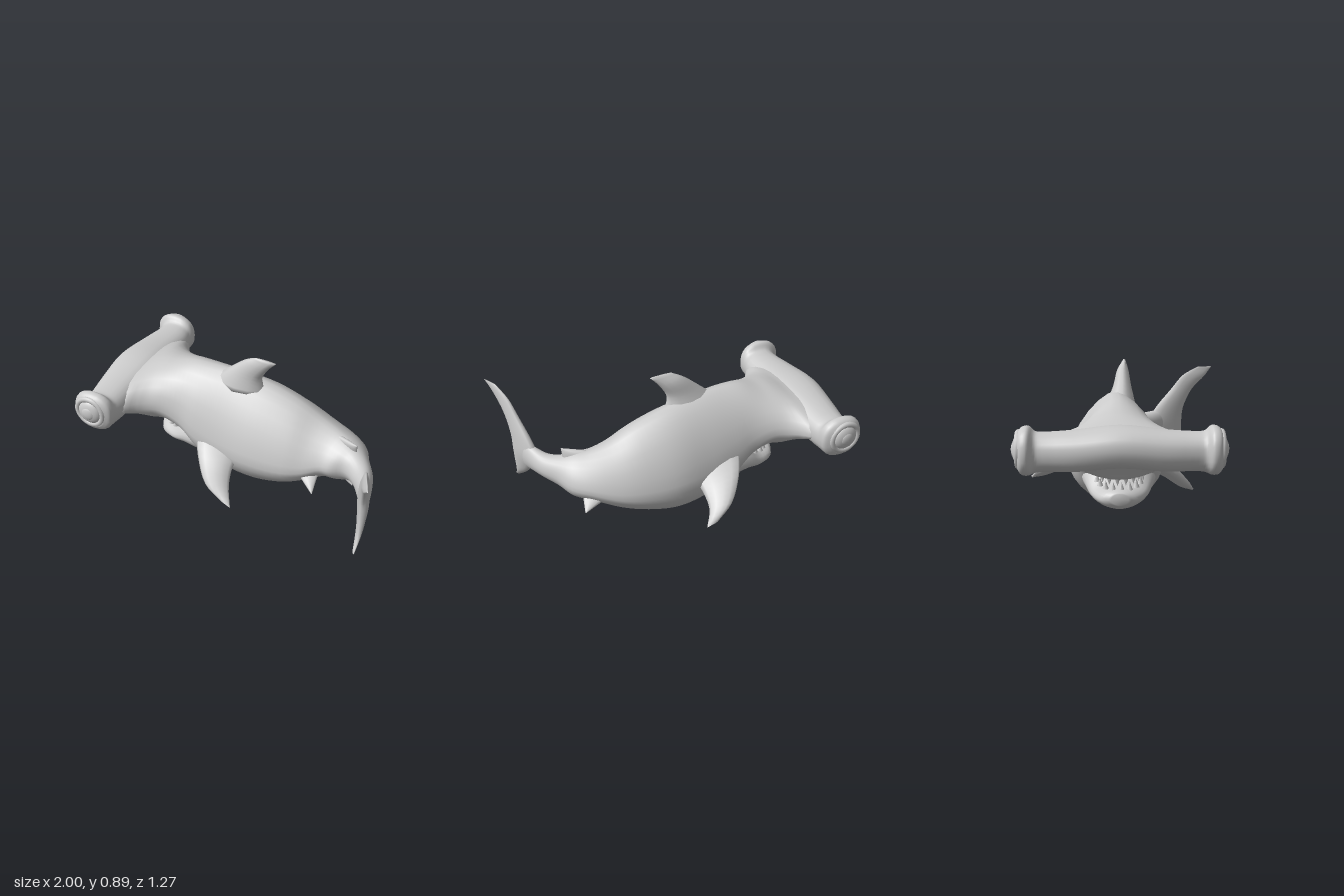
import * as THREE from 'three';

const MID = -0.06; // z of the head's centre plane
const V = (x, y, z) => new THREE.Vector3(x, y, z);
const material = new THREE.MeshStandardMaterial({ color: 0xcccccc });

function add(group, name, geometry) {
  const mesh = new THREE.Mesh(geometry, material);
  mesh.name = name;
  group.add(mesh);
  return mesh;
}

// Smooth closed skin through rings of equal point count, capped at both ends
function loft(rings, sub = 4) {
  const n = rings[0].length;
  const steps = (rings.length - 1) * sub;
  const columns = rings[0].map((_, j) => new THREE.CatmullRomCurve3(rings.map(r => r[j]), false, 'centripetal'));
  const pos = [], index = [];
  for (let i = 0; i <= steps; i++)
    for (const c of columns) pos.push(...c.getPoint(i / steps).toArray());
  for (let i = 0; i < steps; i++)
    for (let j = 0; j < n; j++) {
      const a = i * n + j, b = i * n + (j + 1) % n;
      index.push(a, b, a + n, b, b + n, a + n);
    }
  [0, steps].forEach((row, end) => {
    const centre = pos.length / 3;
    const ring = rings[end ? rings.length - 1 : 0];
    const c = ring.reduce((s, p) => s.add(p), V(0, 0, 0)).divideScalar(n);
    pos.push(c.x, c.y, c.z);
    for (let j = 0; j < n; j++) {
      const a = row * n + j, b = row * n + (j + 1) % n;
      if (end) index.push(a, b, centre); else index.push(b, a, centre);
    }
  });
  // Turn the faces outward if the signed volume is negative
  let volume = 0;
  const at = k => V(pos[3 * k], pos[3 * k + 1], pos[3 * k + 2]);
  for (let k = 0; k < index.length; k += 3)
    volume += at(index[k]).dot(at(index[k + 1]).cross(at(index[k + 2])));
  if (volume < 0) index.reverse();
  const g = new THREE.BufferGeometry();
  g.setAttribute('position', new THREE.Float32BufferAttribute(pos, 3));
  g.setIndex(index);
  g.computeVertexNormals();
  return g;
}

const power = (v, p) => Math.sign(v) * Math.abs(v) ** p;
const around = (n, fn) => Array.from({ length: n }, (_, i) => fn(Math.cos(i / n * Math.PI * 2), Math.sin(i / n * Math.PI * 2)));

// Body section: centre x, z, heading, half width, bottom, widest height, top, slope of the back
function bodyRing([x, z, heading, hw, bottom, wide, top, slope = 1.3]) {
  return around(28, (c, s) => {
    const p = s > 0 ? slope : 1.1;
    const side = hw * power(c, p);
    const y = wide + (s > 0 ? top - wide : wide - bottom) * power(s, p);
    return V(x - Math.sin(heading) * side, y, z + Math.cos(heading) * side);
  });
}

// Fin from sections [leading point, trailing point, half thickness], thickened along a normal
function fin(group, name, normal, sections) {
  const up = V(...normal).normalize();
  const rings = sections.map(([lead, trail, t]) => {
    const a = V(...lead), b = V(...trail);
    return around(12, (c, s) => a.clone().lerp(b, 0.5 - c / 2).addScaledVector(up, t * s));
  });
  add(group, name, loft(rings));
}

export function createModel() {
  const shark = new THREE.Group();
  shark.name = 'hammerheadShark';

  // Body and bent tail stock, flaring into the tail fin
  add(shark, 'body', loft([
    [-0.9, MID, 0, 0.36, 0.44, 0.52, 0.6, 1],
    [-0.74, MID, 0, 0.44, 0.4, 0.5, 0.635, 1.15],
    [-0.67, MID, 0, 0.355, 0.34, 0.48, 0.66, 1.1],
    [-0.62, MID, 0, 0.31, 0.295, 0.47, 0.675, 1.1],
    [-0.54, MID, 0, 0.27, 0.29, 0.46, 0.69, 1.1],
    [-0.42, MID, 0, 0.25, 0.24, 0.4, 0.722, 1.15],
    [-0.3, MID, 0, 0.265, 0.1, 0.33, 0.73, 1.2],
    [-0.12, -0.07, 0, 0.285, 0.025, 0.28, 0.725],
    [0.1, -0.08, 0, 0.3, 0.005, 0.26, 0.69],
    [0.3, -0.08, 0, 0.28, 0.06, 0.26, 0.625],
    [0.45, -0.075, 0.1, 0.24, 0.13, 0.28, 0.55],
    [0.58, -0.05, 0.3, 0.19, 0.2, 0.32, 0.505],
    [0.66, -0.01, 0.48, 0.155, 0.215, 0.33, 0.485, 1.2],
    [0.73, 0.04, 0.7, 0.09, 0.25, 0.35, 0.455, 1],
    [0.8, 0.12, 0.9, 0.065, 0.275, 0.355, 0.435, 1],
    [0.85, 0.22, 1.1, 0.045, 0.27, 0.36, 0.445, 1],
    [0.885, 0.31, 1.15, 0.025, 0.26, 0.36, 0.46, 1],
    [0.905, 0.38, 1.15, 0.008, 0.28, 0.36, 0.44, 1],
  ].map(bodyRing)));

  // Hammer: half profile [offset, front x, back x, bottom, top], mirrored
  const half = [
    [0, -1.0, -0.68, 0.42, 0.645], [0.25, -0.98, -0.7, 0.4, 0.62],
    [0.41, -0.955, -0.71, 0.4, 0.61], [0.455, -0.955, -0.72, 0.395, 0.615],
    [0.49, -0.99, -0.722, 0.385, 0.648], [0.525, -0.985, -0.728, 0.39, 0.642],
    [0.55, -0.95, -0.77, 0.425, 0.615],
  ];
  const profile = [...half.slice(1).reverse().map(([o, ...r]) => [-o, ...r]), ...half];
  add(shark, 'hammerHead', loft(profile.map(([o, x0, x1, y0, y1]) => around(24, (c, s) =>
    V((x0 + x1) / 2 + (x1 - x0) / 2 * power(c, 0.85), (y0 + y1) / 2 + (y1 - y0) / 2 * power(s, 0.85), MID + o)))));

  // Eyes with a rim and a bulging pupil
  for (const s of [-1, 1]) {
    const eye = new THREE.Group();
    eye.name = s > 0 ? 'leftEye' : 'rightEye';
    eye.position.set(-0.865, 0.525, MID + s * 0.54);
    add(eye, 'eyeRim', new THREE.TorusGeometry(0.09, 0.018, 10, 28));
    add(eye, 'eyeball', new THREE.SphereGeometry(0.08, 24, 16)).scale.z = 0.45;
    const pupil = add(eye, 'pupil', new THREE.SphereGeometry(0.045, 18, 12));
    pupil.scale.z = 0.4;
    pupil.position.z = s * 0.023;
    shark.add(eye);
  }

  // Lower jaw
  add(shark, 'lowerJaw', loft([
    [-0.655, MID, 0, 0.05, 0.155, 0.185, 0.22, 1],
    [-0.62, MID, 0, 0.11, 0.125, 0.18, 0.235, 1],
    [-0.52, MID, 0, 0.165, 0.118, 0.19, 0.255, 1],
    [-0.42, MID, 0, 0.2, 0.122, 0.23, 0.34, 1],
    [-0.3, MID, 0, 0.22, 0.095, 0.25, 0.4, 1],
    [-0.18, MID, 0, 0.18, 0.1, 0.25, 0.38, 1],
  ].map(bodyRing)));

  // Two rows of pointed teeth along the mouth arc
  const teeth = new THREE.Group();
  teeth.name = 'teeth';
  for (let i = 0; i < 9; i++) {
    for (const upper of [true, false]) {
      const a = ((i + (upper ? 0 : 0.5)) / 8.5 - 0.5) * Math.PI;
      const tooth = add(teeth, upper ? 'upperTooth' : 'lowerTooth', new THREE.ConeGeometry(0.018, 0.05, 6));
      const back = 1 - Math.cos(a);
      tooth.position.set(-0.605 + 0.14 * back, (upper ? 0.28 : 0.25) + 0.035 * back, MID + 0.13 * Math.sin(a));
      if (upper) tooth.rotation.x = Math.PI;
    }
  }
  shark.add(teeth);

  fin(shark, 'dorsalFin', [0, 0, 1], [
    [[-0.29, 0.65, -0.045], [0.08, 0.64, -0.045], 0.09],
    [[-0.165, 0.76, -0.035], [0.06, 0.74, -0.035], 0.055],
    [[-0.05, 0.855, -0.03], [0.1, 0.82, -0.03], 0.035],
    [[0.02, 0.892, -0.02], [0.16, 0.89, -0.02], 0.008],
  ]);

  // Pectoral fins, swept back and drooping
  fin(shark, 'leftPectoralFin', [0.1, 0.65, 0.7], [
    [[-0.34, 0.36, 0.1], [0.0, 0.27, 0.1], 0.055],
    [[-0.24, 0.25, 0.26], [-0.01, 0.21, 0.23], 0.045],
    [[-0.13, 0.14, 0.37], [0.01, 0.13, 0.32], 0.03],
    [[0.0, 0.08, 0.41], [0.07, 0.06, 0.42], 0.006],
  ]);
  fin(shark, 'rightPectoralFin', [0.1, 0.7, -0.7], [
    [[-0.34, 0.38, -0.25], [0.0, 0.29, -0.25], 0.06],
    [[-0.24, 0.32, -0.43], [-0.01, 0.25, -0.4], 0.045],
    [[-0.13, 0.23, -0.55], [0.0, 0.2, -0.51], 0.03],
    [[-0.01, 0.165, -0.6], [0.065, 0.155, -0.61], 0.006],
  ]);

  // Small rear fins: [name, normal, root lead, root trail, tip]
  for (const [name, normal, lead, trail, tip] of [
    ['leftPelvicFin', [0, 0.7, 0.7], [0.36, 0.25, 0.11], [0.51, 0.25, 0.1], [0.52, 0.185, 0.21]],
    ['rightPelvicFin', [0, 0.7, -0.7], [0.5, 0.28, -0.22], [0.67, 0.29, -0.15], [0.695, 0.22, -0.255]],
    ['rearDorsalFin', [-0.4, 0, 0.9], [0.52, 0.49, -0.06], [0.72, 0.44, 0.02], [0.725, 0.515, 0.04]],
    ['analFin', [-0.4, 0, 0.9], [0.52, 0.24, -0.06], [0.72, 0.28, 0.02], [0.715, 0.2, 0.04]],
  ]) {
    const mix = k => [V(...lead), V(...trail)].map(p => p.lerp(V(...tip), k).toArray());
    fin(shark, name, normal, [[...mix(0), 0.025], [...mix(0.55), 0.016], [...mix(0.97), 0.003]]);
  }

  // Crescent tail fin turned towards the left
  fin(shark, 'tailFin', [0.9, 0, -0.4], [
    [[0.89, 0.09, 0.45], [0.905, 0.09, 0.47], 0.004],
    [[0.875, 0.17, 0.35], [0.91, 0.17, 0.42], 0.016],
    [[0.855, 0.26, 0.26], [0.915, 0.26, 0.41], 0.026],
    [[0.83, 0.36, 0.17], [0.918, 0.36, 0.41], 0.036],
    [[0.845, 0.45, 0.21], [0.918, 0.45, 0.42], 0.034],
    [[0.885, 0.59, 0.33], [0.935, 0.58, 0.48], 0.024],
    [[0.915, 0.69, 0.42], [0.968, 0.68, 0.58], 0.015],
    [[0.955, 0.745, 0.53], [1.0, 0.742, 0.63], 0.004],
  ]);

  return shark;
}
